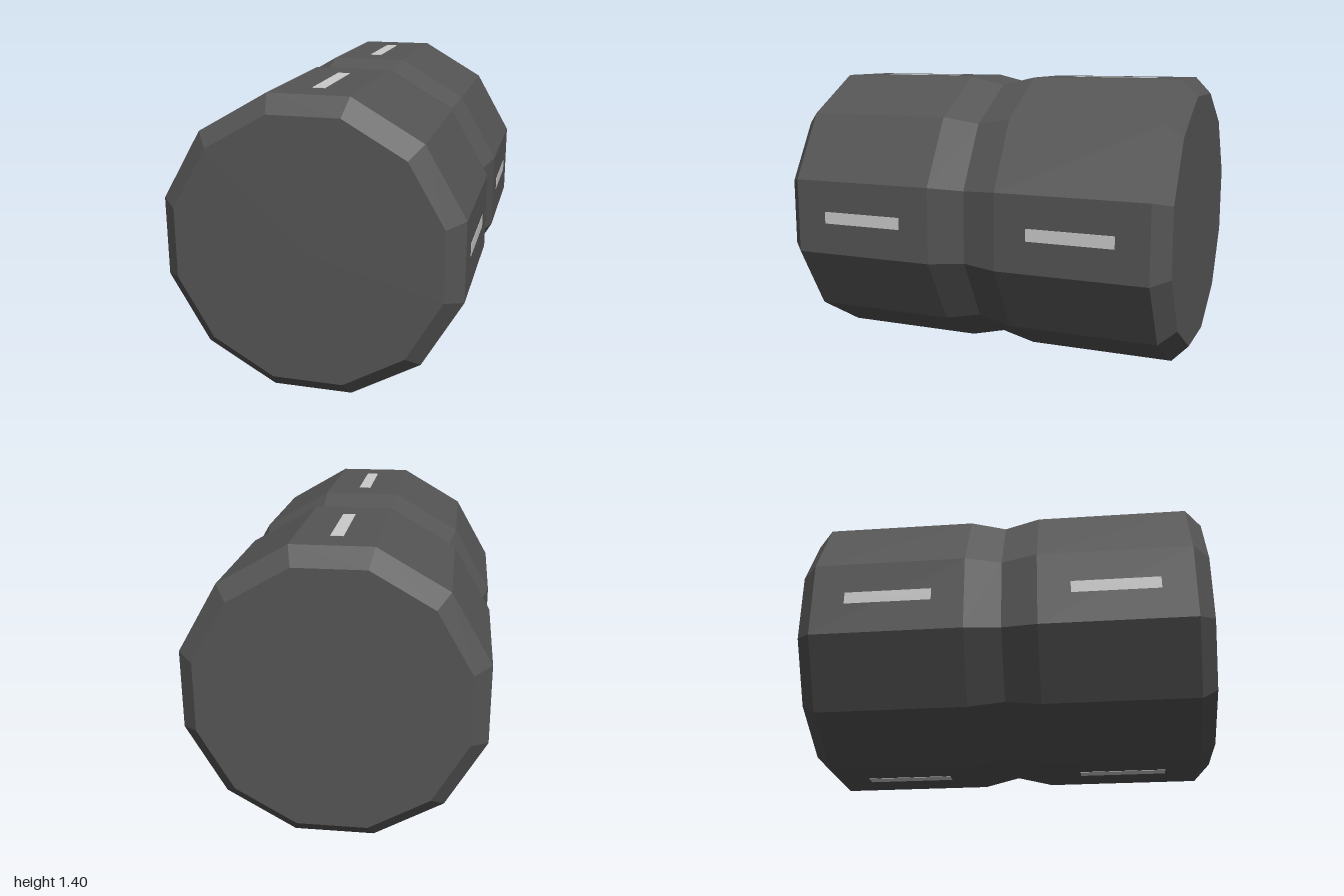
import * as THREE from 'three';

const SIDES = 12;
const APOTHEM = 0.7; // centre to flat face

export function createModel() {
  const group = new THREE.Group();
  const dark = new THREE.MeshStandardMaterial({ color: 0x555555, flatShading: true });
  const light = new THREE.MeshStandardMaterial({ color: 0xcccccc, flatShading: true });

  // Twelve-sided drum: bevelled ends and a shallow waist, as [flat distance, z]
  const corner = 1 / Math.cos(Math.PI / SIDES);
  const profile = [
    [0, -1], [0.62, -1], [APOTHEM, -0.92], [APOTHEM, -0.175], [0.66, 0],
    [APOTHEM, 0.175], [APOTHEM, 0.92], [0.62, 1], [0, 1],
  ].map(([r, z]) => new THREE.Vector2(r * corner, z));
  const drumGeometry = new THREE.LatheGeometry(profile, SIDES, Math.PI / SIDES);
  drumGeometry.rotateX(Math.PI / 2);
  const drum = new THREE.Mesh(drumGeometry, dark);
  drum.name = 'drum';
  drum.position.y = APOTHEM;
  group.add(drum);

  // Light strips: one on each half of the top, bottom, left and right faces
  const stripGeometry = new THREE.BoxGeometry(0.06, 0.006, 0.425);
  for (let i = 0; i < 4; i++) {
    const face = new THREE.Group();
    face.name = ['top', 'right', 'bottom', 'left'][i] + 'Strips';
    face.position.y = APOTHEM;
    face.rotation.z = (i * Math.PI) / 2;
    for (const end of [-1, 1]) {
      const strip = new THREE.Mesh(stripGeometry, light);
      strip.name = end > 0 ? 'frontStrip' : 'backStrip';
      strip.position.set(0, APOTHEM - 0.001, end * 0.547);
      face.add(strip);
    }
    group.add(face);
  }

  group.position.y = 0.002;
  return group;
}
